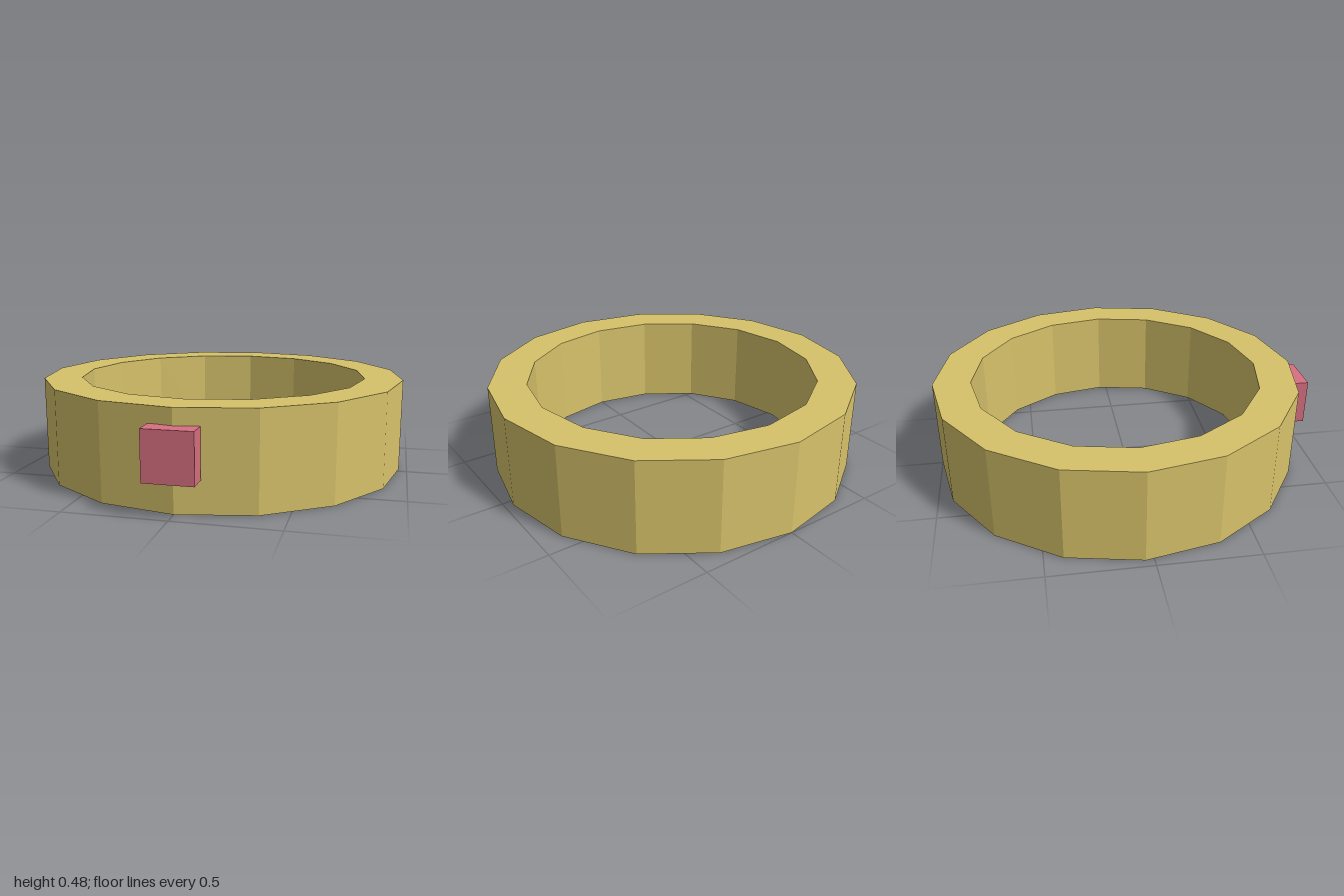
import * as THREE from 'three';

export function createModel() {
  const gold = new THREE.MeshStandardMaterial({ color: 0xd6c26a, flatShading: true, side: THREE.DoubleSide });
  gold.name = 'gold';
  const pink = new THREE.MeshStandardMaterial({ color: 0xd66f80, flatShading: true });
  pink.name = 'pink';

  const model = new THREE.Group();
  model.name = 'collar';

  // Hollow sixteen-sided band: outer wall, top rim, inner wall, open underneath
  const profile = [[0.959, 0], [0.959, 0.48], [0.762, 0.48], [0.762, 0]]
    .map(([r, y]) => new THREE.Vector2(r, y));
  const band = new THREE.Mesh(new THREE.LatheGeometry(profile, 16), gold);
  band.name = 'band';
  band.position.z = -0.041;
  model.add(band);

  // Small block set into the front corner of the band
  const buckle = new THREE.Mesh(new THREE.BoxGeometry(0.24, 0.24, 0.1), pink);
  buckle.name = 'buckle';
  buckle.position.set(0, 0.28, 0.95);
  model.add(buckle);

  return model;
}
